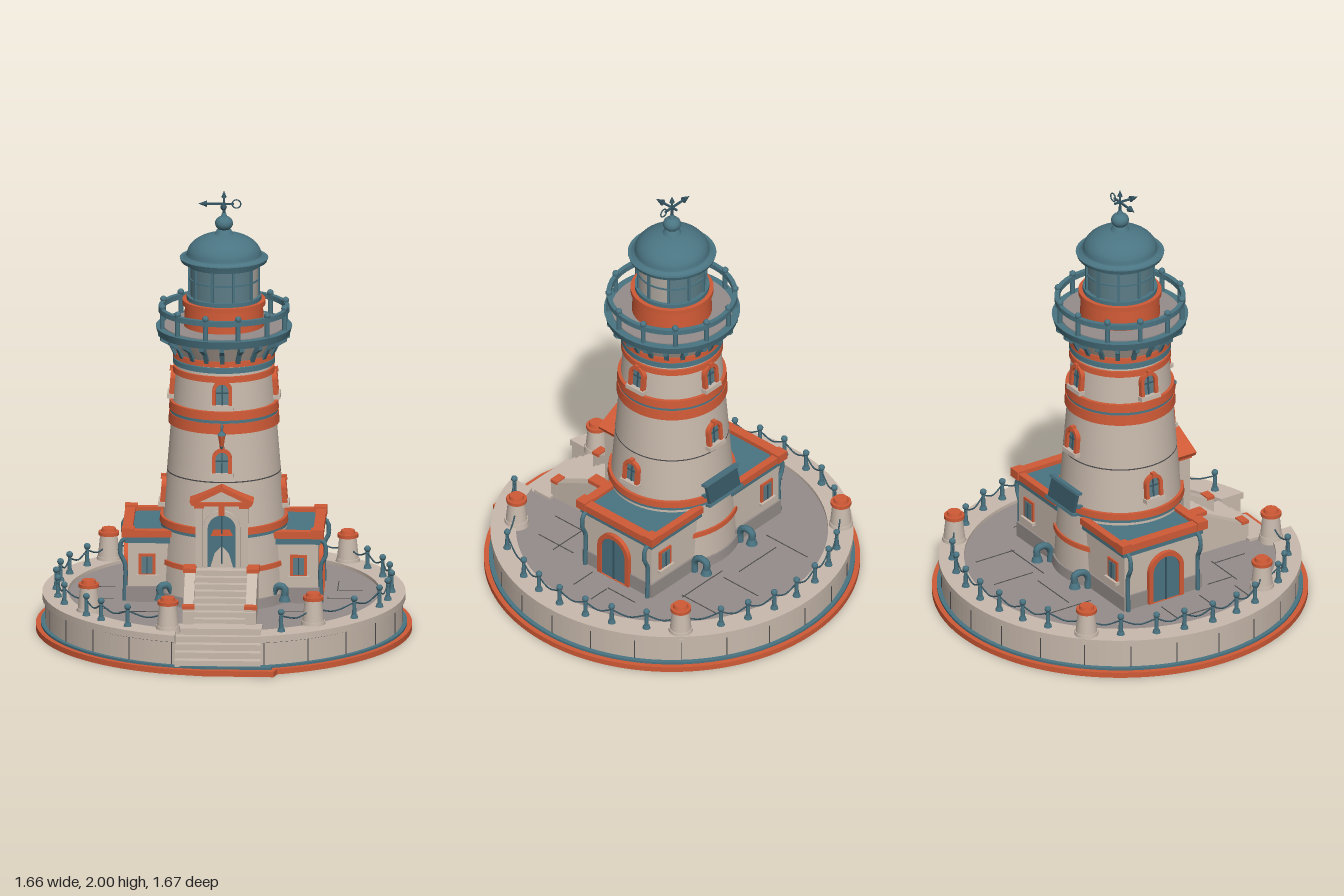
import * as THREE from 'three';

const M = {};
const colours = { cream: 0xc8b9ac, stone: 0x958d8a, orange: 0xd05a36, teal: 0x4a7482, darkTeal: 0x365663, ink: 0x4a4a4c, pane: 0x5c7c86, paleGlass: 0xb0a8a0 };
for (const [name, c] of Object.entries(colours)) {
  M[name] = new THREE.MeshStandardMaterial({ color: c });
  M[name].name = name;
}

export function createModel() {
  const model = new THREE.Group();
  model.name = 'lighthouse';

  // ---- helpers ----
  const add = (name, geo, mat, parent = model) => {
    const m = new THREE.Mesh(geo, mat);
    m.name = name;
    parent.add(m);
    return m;
  };
  const group = (name, parent = model) => {
    const g = new THREE.Group();
    g.name = name;
    parent.add(g);
    return g;
  };
  // box given by its limits
  const box = (name, mat, x0, x1, y0, y1, z0, z1, parent) =>
    add(name, new THREE.BoxGeometry(x1 - x0, y1 - y0, z1 - z0).translate((x0 + x1) / 2, (y0 + y1) / 2, (z0 + z1) / 2), mat, parent);
  // round part from y0 (radius r0) to y1 (radius r1)
  const drum = (name, mat, r0, r1, y0, y1, parent, seg = 56) =>
    add(name, new THREE.CylinderGeometry(r1, r0, y1 - y0, seg).translate(0, (y0 + y1) / 2, 0), mat, parent);
  const extrude = (shape, depth) => new THREE.ExtrudeGeometry(shape, { depth, bevelEnabled: false, curveSegments: 64 });
  const flat = (name, mat, shape, y0, y1) => add(name, extrude(shape, y1 - y0).rotateX(-Math.PI / 2).translate(0, y0, 0), mat);
  const poly = (pts) => new THREE.Shape(pts.map(([a, b]) => new THREE.Vector2(a, b)));
  // (z, y) profile with thickness w across x
  const profile = (name, mat, pts, w, x, parent) =>
    add(name, extrude(poly(pts), w).rotateY(-Math.PI / 2).translate(x + w / 2, 0, 0), mat, parent);
  const tube = (name, mat, pts, r, parent) =>
    add(name, new THREE.TubeGeometry(new THREE.CatmullRomCurve3(pts.map((p) => new THREE.Vector3(...p))), 14, r, 8), mat, parent);
  const arch = (w, h, y0 = 0) => {
    const s = new THREE.Shape();
    s.moveTo(-w, y0).lineTo(w, y0).lineTo(w, h - w);
    s.absarc(0, h - w, w, 0, Math.PI, false);
    return s;
  };
  // arched opening facing +z: pane plus surround
  const archOpening = (name, w, h, rim, depth, frameMat, paneMat, parent) => {
    const g = group(name, parent);
    const s = arch(w + rim, h + rim);
    s.holes.push(arch(w, h, 0.001));
    add('surround', extrude(s, depth), frameMat, g);
    add('pane', extrude(arch(w, h), 0.008), paneMat, g);
    box('mullion', M.darkTeal, -0.003, 0.003, 0, h, 0.004, 0.012, g);
    return g;
  };

  // ---- island base and platform ----
  const basePlate = new THREE.Shape();
  basePlate.absarc(0, 0, 0.832, -1.25, Math.PI * 1.5 - 0.24, false);
  basePlate.lineTo(-0.06, -0.835).lineTo(0.25, -0.84);
  flat('basePlate', M.orange, basePlate, 0, 0.025);
  const trim = new THREE.Shape();
  trim.absarc(0, 0, 0.81, -1.27, Math.PI * 1.5 - 0.24, false);
  trim.lineTo(-0.06, -0.81).lineTo(0.24, -0.81);
  flat('baseTrim', M.teal, trim, 0.025, 0.035);

  const G = 0.19; // half width of the entrance gap
  const start = (r) => -Math.PI / 2 + Math.asin(G / r);
  const end = (r) => Math.PI * 1.5 - Math.asin(G / r);
  const sector = (ro, ri) => {
    const s = new THREE.Shape();
    s.absarc(0, 0, ro, start(ro), end(ro), false);
    s.absarc(0, 0, ri, end(ri), start(ri), true);
    return s;
  };
  flat('platformWall', M.cream, sector(0.79, 0.68), 0.035, 0.14);
  flat('platformCoping', M.cream, sector(0.803, 0.69), 0.14, 0.17);
  const plaza = new THREE.Shape();
  plaza.absarc(0, 0, 0.69, start(0.69), end(0.69), false);
  plaza.lineTo(-G, -0.6).lineTo(G, -0.6);
  flat('plaza', M.stone, plaza, 0.035, 0.155);
  drum('copingShadowLine', M.ink, 0.793, 0.793, 0.136, 0.14).geometry = new THREE.CylinderGeometry(0.793, 0.793, 0.004, 64, 1, true, 0.25, Math.PI * 2 - 0.5).translate(0, 0.138, 0);
  for (let i = 1; i < 24; i++) {
    const j = group('wallJoint');
    j.rotation.y = (i * Math.PI) / 12;
    box('joint', M.ink, -0.002, 0.002, 0.035, 0.136, 0.785, 0.792, j);
  }
  // paving joints
  for (const [x, z, w, d] of [[-0.55, -0.1, 0.13, 0], [-0.55, 0.1, 0.13, 0], [-0.55, 0.28, 0.1, 0], [0.56, -0.07, 0.1, 0], [0.52, 0.06, 0.12, 0], [0.35, 0.3, 0.2, 0], [-0.35, 0.32, 0.2, 0], [-0.1, -0.42, 0.24, 0], [0.2, -0.36, 0.26, 0],
    [-0.61, 0, 0, 0.2], [-0.27, 0.4, 0, 0.16], [0.26, 0.38, 0, 0.16], [0.41, 0.32, 0, 0.2], [-0.26, -0.45, 0, 0.24], [0.1, -0.5, 0, 0.2], [0.32, -0.45, 0, 0.2], [-0.42, 0.25, 0, 0.12], [0.5, -0.15, 0, 0.16]])
    box('pavingJoint', M.ink, x - w / 2 - 0.002, x + w / 2 + 0.002, 0.154, 0.157, z - d / 2 - 0.002, z + d / 2 + 0.002);

  // ---- entrance steps ----
  box('landing', M.cream, -G, G, 0.035, 0.168, 0.56, 0.65);
  for (let i = 0; i < 4; i++) box('lowerStep', M.cream, -G, G, 0.03, 0.14 - i * 0.027, 0.64, 0.68 + i * 0.037);
  for (let i = 0; i < 8; i++) box('upperStep', M.cream, -0.118, 0.118, 0.15, 0.35 - i * 0.0235, 0.2, 0.335 + i * 0.031);
  for (const s of [-1, 1]) {
    profile('stairWall', M.cream, [[0.2, 0.15], [0.575, 0.15], [0.575, 0.225], [0.5, 0.262], [0.33, 0.345], [0.2, 0.345]], 0.045, s * 0.138);
    box('stairPostCap', M.orange, s * 0.14 - 0.028, s * 0.14 + 0.028, 0.343, 0.362, 0.27, 0.35);
    box('stairEndPost', M.cream, s * 0.138 - 0.025, s * 0.138 + 0.025, 0.15, 0.235, 0.54, 0.572);
    box('stairEndCap', M.orange, s * 0.138 - 0.028, s * 0.138 + 0.028, 0.235, 0.25, 0.537, 0.575);
  }

  // ---- bollards, chain posts and chains ----
  const spots = [0, 10.4, 21, 31, 45, 56.7, 69, 79, 90, 100.4, 110, 122, 127, 135, 147, 161];
  const rightSpots = [...spots.slice(0, 11), 127, 143, 158];
  for (const [side, list] of [[-1, spots], [1, rightSpots]]) {
    let last = null;
    for (const deg of list) {
      const a = (deg * Math.PI) / 180;
      const stout = [45, 122, 161, 143].includes(deg);
      const r = stout ? (deg > 45 ? 0.69 : 0.748) : 0.742;
      const p = [side * Math.sin(a) * r, 0.17, -Math.cos(a) * r];
      if (deg || side < 0) {
        const g = group(stout ? 'bollard' : 'chainPost');
        g.position.set(...p);
        if (stout) {
          drum('bollardFoot', M.cream, 0.056, 0.052, -0.015, 0.015, g, 20);
          drum('bollardBody', M.cream, 0.048, 0.038, 0.015, 0.11, g, 20);
          drum('bollardCap', M.orange, 0.046, 0.046, 0.11, 0.126, g, 20);
          drum('bollardTop', M.orange, 0.034, 0.03, 0.126, 0.142, g, 20);
        } else {
          drum('postFoot', M.teal, 0.018, 0.014, 0, 0.015, g, 10);
          drum('postShaft', M.teal, 0.01, 0.008, 0.015, 0.08, g, 10);
          add('postBall', new THREE.SphereGeometry(0.015, 10, 8).translate(0, 0.088, 0), M.teal, g);
        }
      }
      if (last) tube('chain', M.darkTeal, [[last[0], 0.24, last[2]], [(last[0] + p[0]) / 2, 0.215, (last[2] + p[2]) / 2], [p[0], 0.24, p[2]]], 0.0035);
      last = p;
    }
  }

  // ---- side wings ----
  for (const s of [-1, 1]) {
    const w = group(s > 0 ? 'leftWing' : 'rightWing');
    const wing = (name, mat, x0, x1, ...rest) => box(name, mat, Math.min(s * x0, s * x1), Math.max(s * x0, s * x1), ...rest, w);
    wing('wingPlinth', M.stone, 0.1, 0.428, 0.15, 0.225, -0.264, 0.15);
    wing('wingWalls', M.cream, 0.1, 0.42, 0.225, 0.43, -0.256, 0.142);
    wing('wingCornice', M.teal, 0.1, 0.432, 0.425, 0.453, -0.268, 0.155);
    wing('wingRoof', M.teal, 0.1, 0.41, 0.453, 0.468, -0.255, 0.14);
    wing('sideParapet', M.orange, 0.4, 0.445, 0.453, 0.487, -0.28, 0.165);
    wing('frontParapet', M.orange, 0.2, 0.445, 0.453, 0.484, 0.122, 0.163);
    wing('backParapet', M.orange, 0.1, 0.445, 0.453, 0.484, -0.278, -0.245);
    for (const z of [-0.258, 0.143]) wing('parapetCorner', M.orange, 0.39, 0.447, 0.453, 0.494, z - 0.026, z + 0.026);
    // wing door on the outer wall
    const d = archOpening('wingDoor', 0.07, 0.215, 0.022, 0.02, M.orange, M.teal, w);
    d.position.set(s * 0.422, 0.158, -0.045);
    d.rotation.y = (s * Math.PI) / 2;
    d.children[1].position.z = 0.004;
    d.children[2].position.z = 0.004;
    // square windows front and back
    for (const f of [-1, 1]) {
      const g = group('wingWindow', w);
      g.position.set(s * 0.335, 0.32, f > 0 ? 0.142 : -0.256);
      g.rotation.y = f > 0 ? 0 : Math.PI;
      box('frame', M.orange, -0.038, 0.038, -0.045, 0.055, -0.002, 0.008, g);
      box('pane', M.pane, -0.025, 0.025, -0.035, 0.043, 0.003, 0.011, g);
      box('mullion', M.darkTeal, -0.003, 0.003, -0.035, 0.043, 0.005, 0.014, g);
      box('sill', M.cream, -0.046, 0.046, -0.055, -0.04, -0.002, 0.02, g);
      // downpipes at the corners
      const z = f > 0 ? 0.125 : -0.245;
      tube('downpipe', M.teal, [[s * 0.43, 0.44, z], [s * 0.452, 0.42, z], [s * 0.452, 0.36, z], [s * 0.435, 0.33, z], [s * 0.435, 0.155, z]], 0.01, w);
    }
    // gooseneck vents
    for (const [x, z, dx, dz] of [[0.15, -0.34, 0, 0.07], [0.275, 0.19, -0.05, -0.02]]) {
      const X = s * x, D = s * dx;
      tube('ventPipe', M.teal, [[X + D, 0.15, z + dz], [X + D, 0.21, z + dz], [X + D * 0.6, 0.24, z + dz * 0.6], [X, 0.235, z], [X, 0.195, z]], 0.016);
      const c = drum('ventMouth', M.teal, 0.026, 0.018, 0.175, 0.2, model, 14);
      c.position.set(X, 0, z);
    }
  }

  // ---- tower ----
  const towerR = (y) => 0.272 - (y - 0.48) * 0.08;
  drum('towerPlinth', M.cream, 0.295, 0.278, 0.15, 0.49);
  drum('plinthFoot', M.stone, 0.305, 0.3, 0.15, 0.2);
  drum('towerBody', M.cream, towerR(0.48), towerR(1.28), 0.48, 1.28);
  drum('wallSeam', M.ink, towerR(0.73) + 0.001, towerR(0.73) + 0.001, 0.729, 0.734);
  for (const [mat, y0, y1, out] of [['orange', 0.325, 0.347, 0.012], ['orange', 0.495, 0.525, 0.014], ['teal', 0.48, 0.495, 0.008],
    ['orange', 0.95, 0.997, 0.012], ['teal', 0.997, 1.012, 0.008], ['orange', 1.012, 1.05, 0.014], ['orange', 1.18, 1.207, 0.01], ['teal', 1.222, 1.245, 0.014], ['orange', 1.25, 1.275, 0.016]])
    drum(mat + 'Band', M[mat], towerR(y0) + out, towerR(y1) + out, y0, y1);
  // arched tower windows
  for (const [deg, y] of [[0, 1.075], [180, 1.075], [90, 1.075], [270, 1.075], [0, 0.77], [180, 0.77], [90, 0.58], [270, 0.58]]) {
    const spin = group('towerWindow');
    spin.rotation.y = (deg * Math.PI) / 180;
    const g = archOpening('archedWindow', 0.028, 0.098, 0.016, 0.022, M.orange, M.pane, spin);
    g.position.set(0, y, towerR(y) - 0.004);
    g.rotation.x = -0.08;
    box('sill', M.cream, -0.05, 0.05, -0.016, 0.004, -0.01, 0.03, g);
    box('crossbar', M.darkTeal, -0.028, 0.028, 0.055, 0.061, 0.004, 0.012, g);
    box('keystone', M.orange, -0.01, 0.01, 0.1, 0.122, 0, 0.028, g);
  }
  // information board on the back
  const board = group('backBoard');
  board.position.set(0, 0.56, -0.3);
  board.rotation.x = 0.25;
  box('panel', M.darkTeal, -0.1, 0.1, -0.045, 0.045, -0.008, 0.008, board);
  for (const y of [-0.05, 0.05]) box('rail', M.teal, -0.11, 0.11, y - 0.006, y + 0.006, -0.014, 0.014, board);
  for (const x of [-0.08, 0.08]) box('bracket', M.teal, x - 0.007, x + 0.007, -0.03, -0.015, 0, 0.06, board);

  // ---- portico ----
  const portico = group('portico');
  box('porticoBody', M.cream, -0.105, 0.105, 0.33, 0.645, 0.15, 0.272, portico);
  for (const s of [-1, 1]) {
    box('pillar', M.cream, s * 0.1 - 0.016, s * 0.1 + 0.016, 0.35, 0.63, 0.24, 0.295, portico);
    box('pillarCap', M.orange, s * 0.1 - 0.022, s * 0.1 + 0.022, 0.625, 0.645, 0.235, 0.302, portico);
    const slab = box('pedimentSlope', M.orange, -0.078, 0.078, -0.01, 0.01, 0.16, 0.313, portico);
    slab.position.set(s * 0.067, 0.683, 0);
    slab.rotation.z = -s * 0.46;
  }
  add('pediment', extrude(poly([[-0.12, 0.645], [0.12, 0.645], [0, 0.705]]), 0.14).translate(0, 0, 0.15), M.cream, portico);
  box('pedimentBase', M.orange, -0.13, 0.13, 0.637, 0.653, 0.16, 0.308, portico);
  const door = archOpening('frontDoor', 0.062, 0.24, 0.02, 0.018, M.cream, M.teal, portico);
  door.position.set(0, 0.35, 0.272);
  box('keystone', M.orange, -0.013, 0.013, 0.59, 0.635, 0.27, 0.298, portico);
  // hanging lamp
  tube('lampArm', M.teal, [[0, 0.96, 0.23], [0, 0.99, 0.25], [0, 0.995, 0.275], [0, 0.97, 0.278]], 0.006);
  const lamp = group('hangingLamp');
  lamp.position.z = 0.278;
  drum('lampRoof', M.teal, 0.022, 0.004, 0.955, 0.975, lamp, 6);
  drum('lampBody', M.orange, 0.01, 0.019, 0.905, 0.955, lamp, 6);
  drum('lampTip', M.teal, 0.003, 0.011, 0.89, 0.905, lamp, 6);

  // ---- gallery ----
  drum('corbel', M.cream, 0.218, 0.265, 1.275, 1.352);
  drum('galleryDeck', M.teal, 0.292, 0.302, 1.35, 1.385);
  drum('galleryFloor', M.stone, 0.268, 0.268, 1.385, 1.389);
  for (let i = 0; i < 20; i++) {
    const g = group('corbelBracket');
    g.rotation.y = (i * Math.PI) / 10;
    profile('bracket', M.teal, [[0.2, 1.265], [0.228, 1.265], [0.25, 1.31], [0.292, 1.335], [0.292, 1.355], [0.2, 1.355]], 0.02, 0, g);
  }
  for (let i = 0; i < 12; i++) {
    const g = group('railingPost');
    g.rotation.y = ((i + 0.5) * Math.PI) / 6;
    const p = drum('post', M.teal, 0.011, 0.011, 1.38, 1.48, g, 8);
    const ball = add('postKnob', new THREE.SphereGeometry(0.015, 10, 8).translate(0, 1.483, 0), M.teal, g);
    p.position.z = ball.position.z = 0.28;
  }
  const rail = new THREE.LatheGeometry([[0.27, 1.452], [0.29, 1.452], [0.29, 1.476], [0.27, 1.476], [0.27, 1.452]].map(([a, b]) => new THREE.Vector2(a, b)), 48);
  add('handrail', rail.toNonIndexed(), M.teal).geometry.computeVertexNormals();

  // ---- lantern room and dome ----
  drum('lanternBase', M.orange, 0.178, 0.172, 1.385, 1.485);
  drum('lanternLedge', M.orange, 0.184, 0.184, 1.485, 1.507);
  drum('lanternSill', M.teal, 0.165, 0.165, 1.507, 1.525);
  drum('lanternGlass', M.pane, 0.148, 0.148, 1.52, 1.68);
  add('litGlass', new THREE.CylinderGeometry(0.15, 0.15, 0.15, 20, 1, true, 0.95, 1.25).translate(0, 1.6, 0), M.paleGlass);
  for (let i = 0; i < 10; i++) {
    const g = group('glazingBar');
    g.rotation.y = ((i + 0.5) * Math.PI) / 5;
    box('bar', M.teal, -0.006, 0.006, 1.52, 1.68, 0.143, 0.158, g);
  }
  drum('glazingRing', M.teal, 0.154, 0.154, 1.596, 1.604);
  drum('lanternHead', M.teal, 0.158, 0.165, 1.66, 1.682);
  drum('roofEave', M.teal, 0.19, 0.196, 1.68, 1.697);
  const domePts = [[0.182, 1.697], [0.168, 1.706]];
  for (let i = 0; i <= 12; i++) domePts.push([0.165 * Math.cos((i * Math.PI) / 24), 1.71 + 0.098 * Math.sin((i * Math.PI) / 24)]);
  add('dome', new THREE.LatheGeometry(domePts.map(([a, b]) => new THREE.Vector2(Math.max(a, 0), b)), 48), M.teal);
  drum('finialNeck', M.teal, 0.045, 0.03, 1.8, 1.825, model, 24);
  add('finialBall', new THREE.SphereGeometry(0.04, 24, 16).scale(1, 0.85, 1).translate(0, 1.852, 0), M.teal);
  drum('finialTip', M.teal, 0.016, 0.008, 1.88, 1.9, model, 12);

  // ---- weather vane ----
  drum('vaneRod', M.darkTeal, 0.006, 0.005, 1.89, 1.975, model, 8);
  drum('vaneSpike', M.darkTeal, 0.012, 0.0005, 1.97, 2.0, model, 8);
  box('vaneArm', M.darkTeal, -0.1, 0.045, 1.936, 1.944, -0.004, 0.004);
  box('vaneCrossArm', M.darkTeal, -0.004, 0.004, 1.936, 1.944, -0.03, 0.08);
  const cone = () => new THREE.ConeGeometry(0.015, 0.04, 8);
  add('vanePoint', cone().rotateZ(Math.PI / 2).translate(-0.095, 1.94, 0), M.darkTeal);
  add('vaneCrossPoint', cone().rotateX(Math.PI / 2).translate(0, 1.94, 0.075), M.darkTeal);
  add('vaneCurl', new THREE.TorusGeometry(0.019, 0.003, 6, 20).translate(0.055, 1.94, 0), M.darkTeal);
  return model;
}
